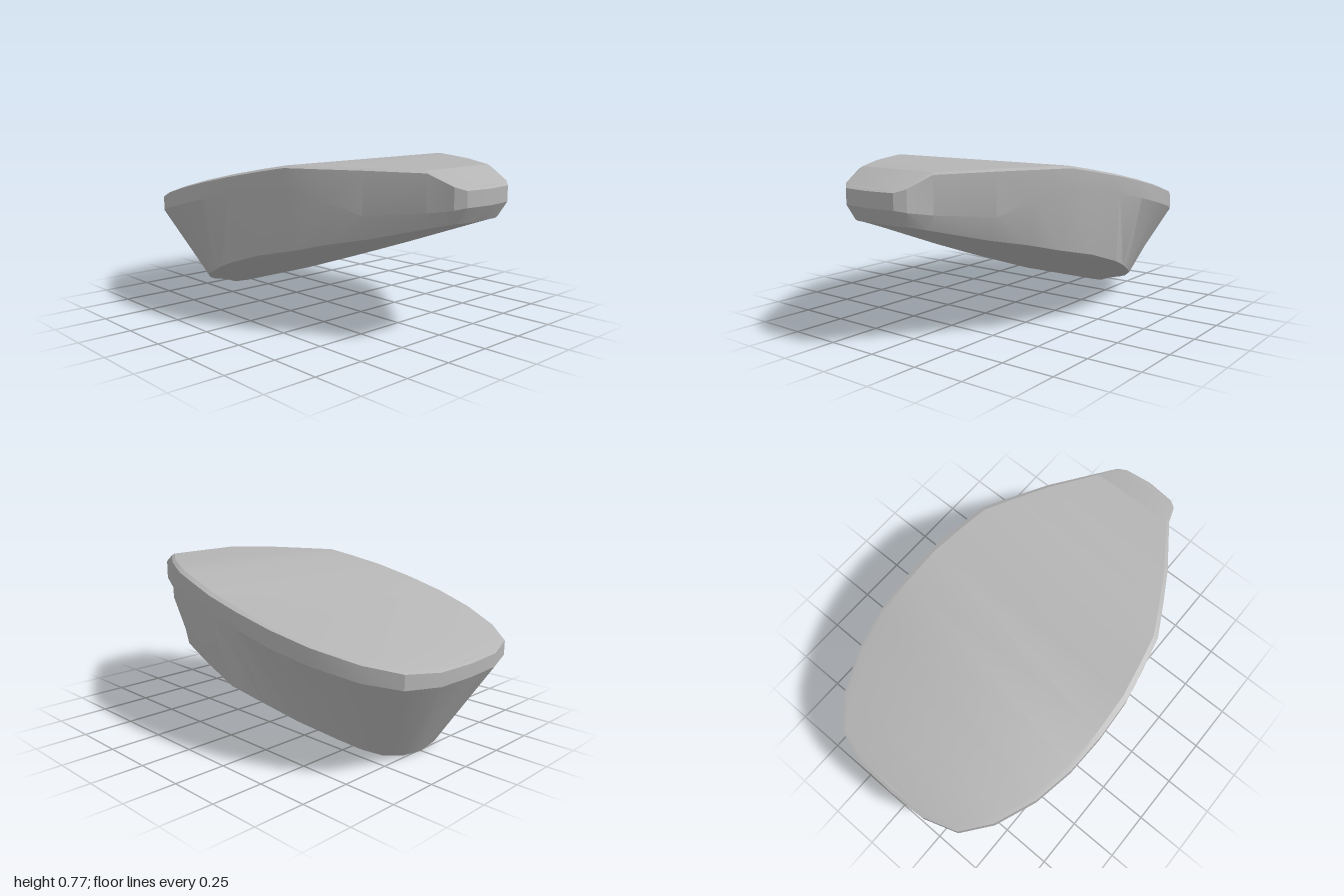
import * as THREE from 'three';
import { mergeVertices, toCreasedNormals } from 'three/addons/utils/BufferGeometryUtils.js';

// Half outline from nose to tail: rim x, z, top y, low y, then chine x, y, z
const STATIONS = [
  [0, 1, 0.69, 0.62, 0, 0.55, 0.95],
  [0.14, 0.985, 0.69, 0.62, 0.11, 0.55, 0.95],
  [0.18, 0.95, 0.705, 0.61, 0.15, 0.548, 0.93],
  [0.22, 0.84, 0.755, 0.59, 0.194, 0.525, 0.84],
  [0.37, 0.62, 0.76, 0.57, 0.325, 0.465, 0.62],
  [0.46, 0.46, 0.76, 0.625, 0.415, 0.43, 0.46],
  [0.54, 0.31, 0.76, 0.675, 0.49, 0.395, 0.33],
  [0.57, 0.18, 0.737, 0.655, 0.535, 0.345, 0.12],
  [0.605, 0, 0.702, 0.62, 0.55, 0.28, -0.08],
  [0.615, -0.2, 0.66, 0.58, 0.5, 0.225, -0.24],
  [0.605, -0.4, 0.615, 0.535, 0.44, 0.165, -0.4],
  [0.565, -0.6, 0.568, 0.49, 0.36, 0.105, -0.57],
  [0.48, -0.8, 0.52, 0.445, 0.29, 0.06, -0.65],
  [0.37, -0.935, 0.488, 0.42, 0.22, 0.03, -0.71],
  [0.2, -0.99, 0.472, 0.41, 0.12, 0.008, -0.745],
  [0, -1, 0.47, 0.41, 0, 0, -0.76],
];

// Height of the underside along the middle
function keelY(z) {
  return z > -0.5 ? 0.045 + (z + 0.5) * 0.348 : Math.max(0, (z + 0.76) * 0.173);
}

// Closed cross-section: deck edge, rim, chine and keel, mirrored
function section([x, z, top, low, cx, cy, cz]) {
  const half = [
    [x * 0.96, top + 0.01, z * 0.985],
    [x, top, z],
    [x, low, z],
    [cx, cy, cz],
    [cx * 0.5, Math.min(cy, keelY(cz)), cz],
  ];
  return [...half, ...half.map(([px, py, pz]) => [-px, py, pz]).reverse()];
}

function hullGeometry() {
  const rings = STATIONS.map(section);
  const positions = [];
  const v = (p) => new THREE.Vector3(...p);
  const addTriangle = (a, b, c) => {
    const area = v(b).sub(v(a)).cross(v(c).sub(v(a))).length();
    if (area > 1e-7) positions.push(...a, ...b, ...c);
  };
  const n = rings[0].length;
  for (let i = 0; i < rings.length - 1; i++) {
    for (let j = 0; j < n; j++) {
      const k = (j + 1) % n;
      const a = rings[i][j], b = rings[i][k], c = rings[i + 1][k], d = rings[i + 1][j];
      // Mirror the diagonals so both sides match
      if (j < n / 2) {
        addTriangle(a, b, c);
        addTriangle(a, c, d);
      } else {
        addTriangle(a, b, d);
        addTriangle(b, c, d);
      }
    }
  }
  // Close the flat nose and tail edges
  for (const [ring, flip] of [[rings[0], false], [rings[rings.length - 1], true]]) {
    for (let j = 1; j < n - 1; j++) {
      if (flip) addTriangle(ring[0], ring[j], ring[j + 1]);
      else addTriangle(ring[0], ring[j + 1], ring[j]);
    }
  }
  const geometry = new THREE.BufferGeometry();
  geometry.setAttribute('position', new THREE.Float32BufferAttribute(positions, 3));
  return toCreasedNormals(mergeVertices(geometry, 1e-4), 0.35);
}

export function createModel() {
  const group = new THREE.Group();
  group.name = 'taperedHull';
  const grey = new THREE.MeshStandardMaterial({ color: 0xb4b4b4 });
  grey.name = 'plainGrey';
  const hull = new THREE.Mesh(hullGeometry(), grey);
  hull.name = 'hull';
  group.add(hull);
  return group;
}
